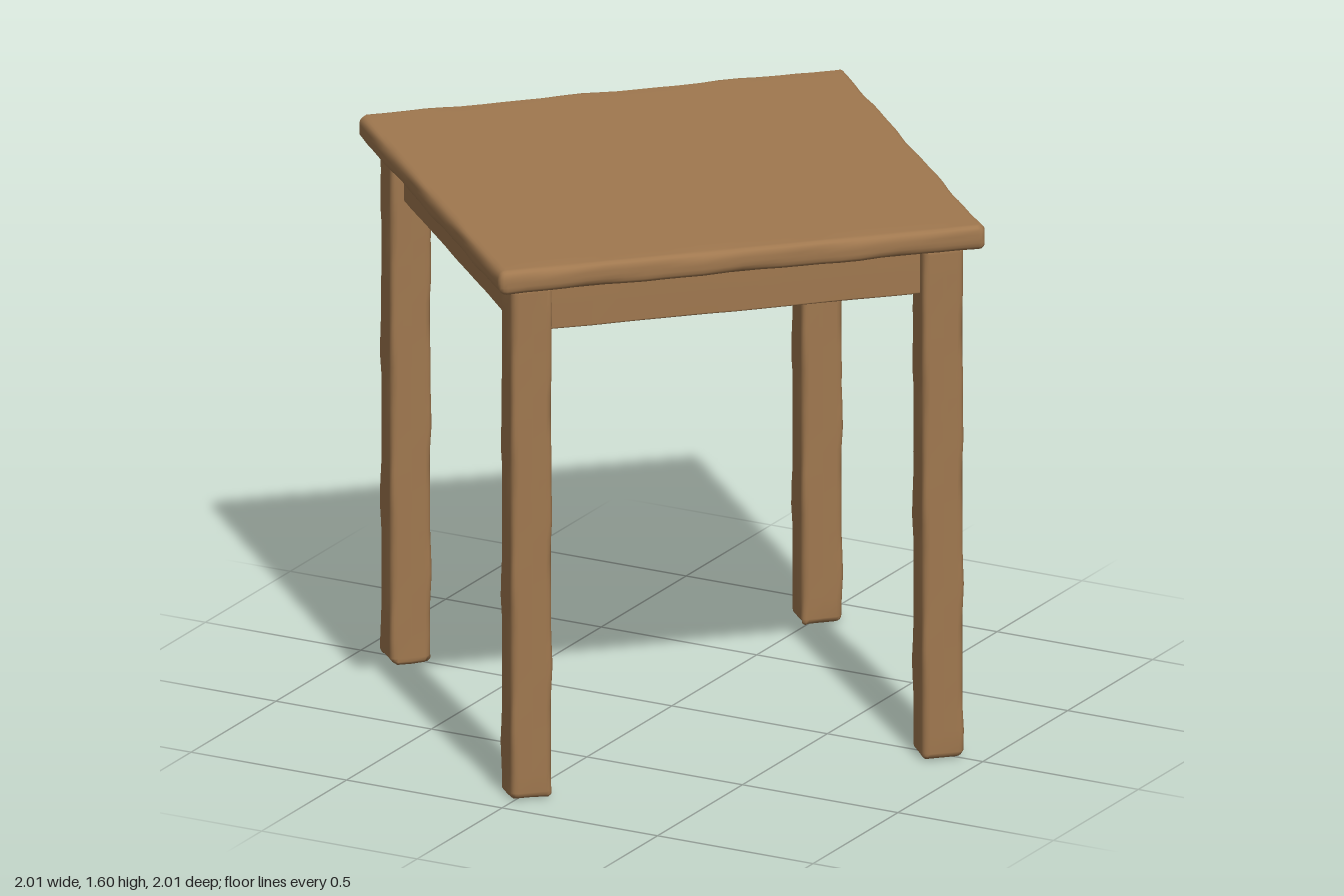
import * as THREE from 'three';
import { mergeVertices } from 'three/addons/utils/BufferGeometryUtils.js';

// Maps an even grid coordinate (-0.5..0.5) so two segments at each end fall in the rounded edge.
function gridPos(u, half, r, n) {
  const i = Math.round((u + 0.5) * n);
  if (i <= 2) return -half + r * i / 2;
  if (i >= n - 2) return half - r * (n - i) / 2;
  return -half + r + (2 * (half - r)) * (i - 2) / (n - 4);
}

// A hand-cut timber: box with softened edges whose wear varies along its length.
function timber(w, h, d, segs, radius, wear, seed) {
  let geo = new THREE.BoxGeometry(1, 1, 1, ...segs);
  geo.deleteAttribute('normal');
  geo.deleteAttribute('uv');
  geo = mergeVertices(geo);
  const half = new THREE.Vector3(w, h, d).multiplyScalar(0.5);
  const pos = geo.attributes.position;
  const p = new THREE.Vector3(), core = new THREE.Vector3(), inner = new THREE.Vector3();
  for (let i = 0; i < pos.count; i++) {
    p.fromBufferAttribute(pos, i);
    p.set(
      gridPos(p.x, half.x, radius, segs[0]),
      gridPos(p.y, half.y, radius, segs[1]),
      gridPos(p.z, half.z, radius, segs[2]));
    inner.copy(half).subScalar(radius);
    core.copy(p).clamp(inner.clone().negate(), inner);
    // Project the edge grid onto a rounded edge
    p.sub(core);
    const len = p.length();
    if (len > 0) p.multiplyScalar(radius / len);
    // Uneven wear, strongest at the edges
    const offAxes = [p.x, p.y, p.z].filter((v) => Math.abs(v) > 1e-5).length;
    if (offAxes > 1) {
      const side = Math.sign(p.x) * 1.3 + Math.sign(p.z) * 2.1 + Math.sign(p.y) * 0.7 + seed;
      const along = core.x + core.y + core.z;
      p.multiplyScalar(1 + wear * (Math.sin(along * 13 + side) + 0.6 * Math.sin(along * 29 + side * 2)));
    }
    p.add(core);
    pos.setXYZ(i, p.x, p.y, p.z);
  }
  geo.computeVertexNormals();
  return geo;
}

export function createModel() {
  const wood = new THREE.MeshStandardMaterial({ color: 0xa0784f });
  wood.name = 'brown wood';
  const table = new THREE.Group();
  table.name = 'table';

  function add(name, geo, x, y, z, turn = 0) {
    const mesh = new THREE.Mesh(geo, wood);
    mesh.name = name;
    mesh.position.set(x, y, z);
    mesh.rotation.y = turn;
    table.add(mesh);
  }

  // Square top
  add('tableTop', timber(1.432, 0.072, 1.432, [28, 6, 28], 0.024, 0.08, 0.4), 0, 1.564, 0);

  // Four legs and the four rails between them
  const legAt = 0.605, railAt = 0.603;
  for (let k = 0; k < 4; k++) {
    const a = k * Math.PI / 2;
    const sx = k === 0 || k === 3 ? 1 : -1;
    const sz = k < 2 ? 1 : -1;
    add('leg', timber(0.12, 1.53, 0.12, [6, 28, 6], 0.02, 0.13, k * 1.7), sx * legAt, 0.765, sz * legAt);
    add('rail', timber(1.12, 0.15, 0.05, [20, 6, 6], 0.006, 0.1, k * 2.3),
      Math.sin(a) * railAt, 1.46, Math.cos(a) * railAt, a);
  }

  // The table stands with a corner to the front
  table.rotation.y = Math.PI / 4;
  const model = new THREE.Group();
  model.name = 'woodenTable';
  model.add(table);
  return model;
}
